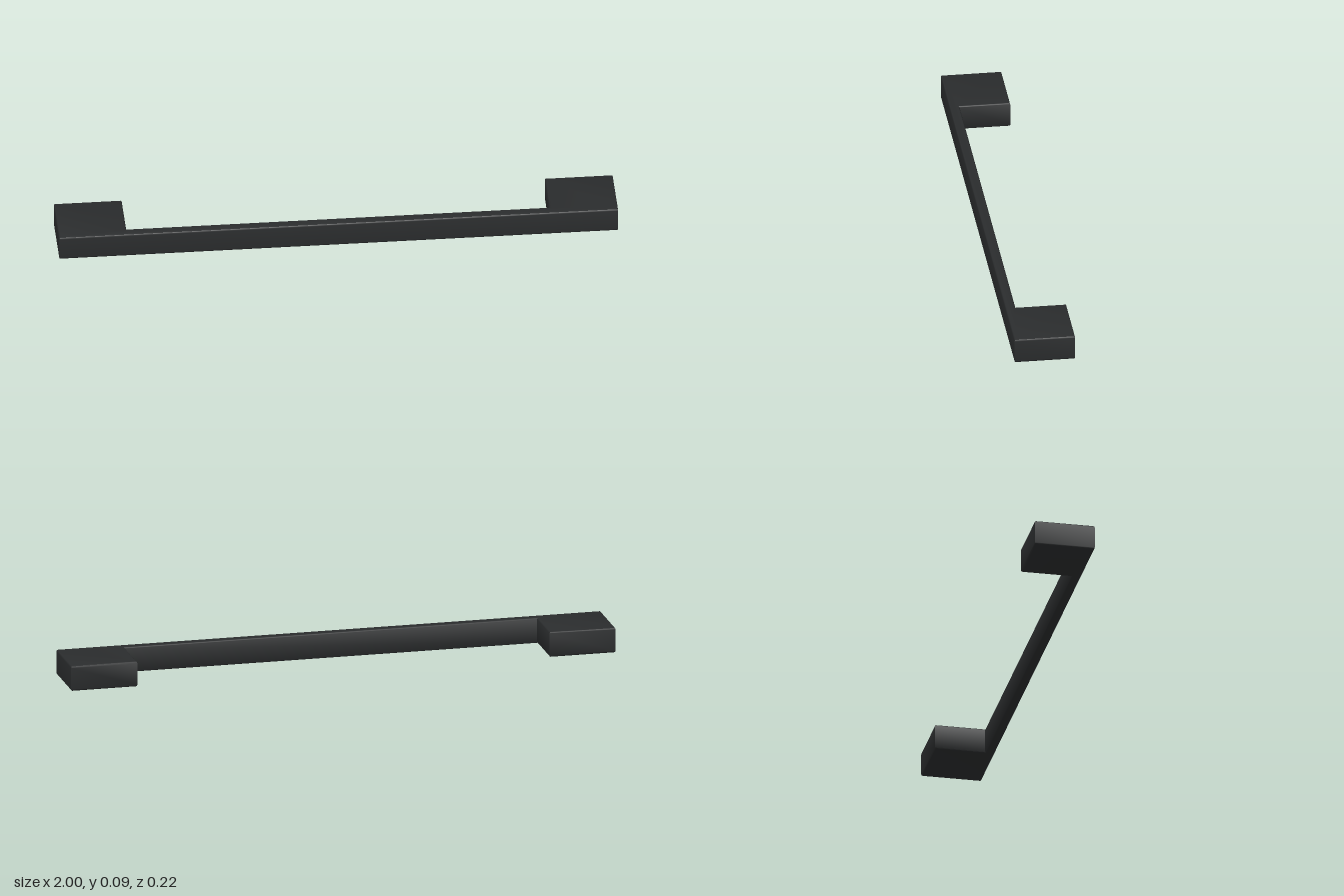
import * as THREE from 'three';
import { toCreasedNormals } from 'three/addons/utils/BufferGeometryUtils.js';

const HALF_LENGTH = 1;
const HALF_DEPTH = 0.109;
const HEIGHT = 0.094;
const FOOT_INNER = 0.757; // x where each end block meets the bar
const BAR_BACK = 0.073; // z of the bar's rear face
const BEVEL = 0.008;

export function createModel() {
  const group = new THREE.Group();
  group.name = 'pullHandle';

  // Plan outline: slim front bar with a mounting block at each end (shape y is -z)
  const half = [
    [FOOT_INNER, -BAR_BACK],
    [FOOT_INNER, HALF_DEPTH],
    [HALF_LENGTH, HALF_DEPTH],
    [HALF_LENGTH, -HALF_DEPTH],
  ];
  const mirrored = half.map(([x, y]) => [-x, y]).reverse();
  const outline = new THREE.Shape(
    [...half, ...mirrored].map(([x, y]) => new THREE.Vector2(x, y)),
  );

  // Rounded top and bottom edges, square vertical corners
  const extruded = new THREE.ExtrudeGeometry(outline, {
    depth: HEIGHT - 2 * BEVEL,
    bevelEnabled: true,
    bevelThickness: BEVEL,
    bevelSize: BEVEL,
    bevelOffset: -BEVEL,
    bevelSegments: 4,
  });
  extruded.translate(0, 0, BEVEL);
  extruded.rotateX(-Math.PI / 2);

  const handle = new THREE.Mesh(
    toCreasedNormals(extruded, Math.PI / 5),
    new THREE.MeshStandardMaterial({ color: 0x2a2c2d }),
  );
  handle.name = 'handleBarWithEndBlocks';
  group.add(handle);
  return group;
}
